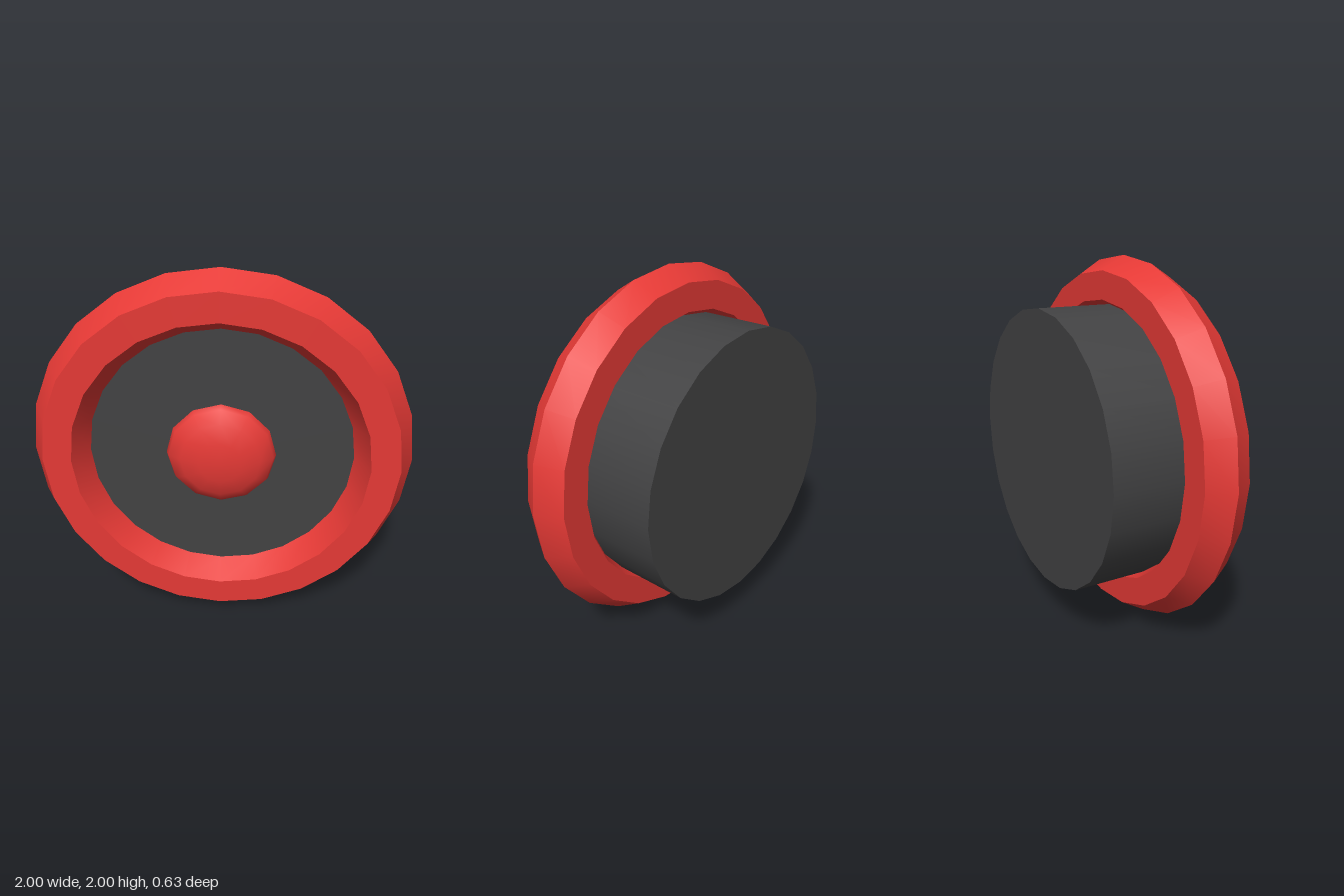
import * as THREE from 'three';
import { toCreasedNormals } from 'three/addons/utils/BufferGeometryUtils.js';

const RED = 0xe53935;
const DARK = 0x424243;

function part(name, geometry, color, z) {
  const mesh = new THREE.Mesh(geometry, new THREE.MeshStandardMaterial({ color }));
  mesh.name = name;
  mesh.position.set(0, 1, z);
  return mesh;
}

export function createModel() {
  const model = new THREE.Group();
  model.name = 'roundButton';

  // Drum facing forward
  const drum = new THREE.CylinderGeometry(0.75, 0.75, 0.5, 24).rotateX(Math.PI / 2);
  model.add(part('drum', drum, DARK, -0.065));

  // Hexagonal-section ring around the drum's front edge
  const ring = toCreasedNormals(new THREE.TorusGeometry(0.85, 0.15, 6, 24), 0.7);
  model.add(part('rim', ring, RED, 0.185));

  // Flattened dome, slightly sunk into the front face
  const dome = new THREE.SphereGeometry(0.3, 12, 8).rotateX(Math.PI / 2).scale(1, 1, 0.45);
  model.add(part('centreDome', dome, RED, 0.165));

  return model;
}
